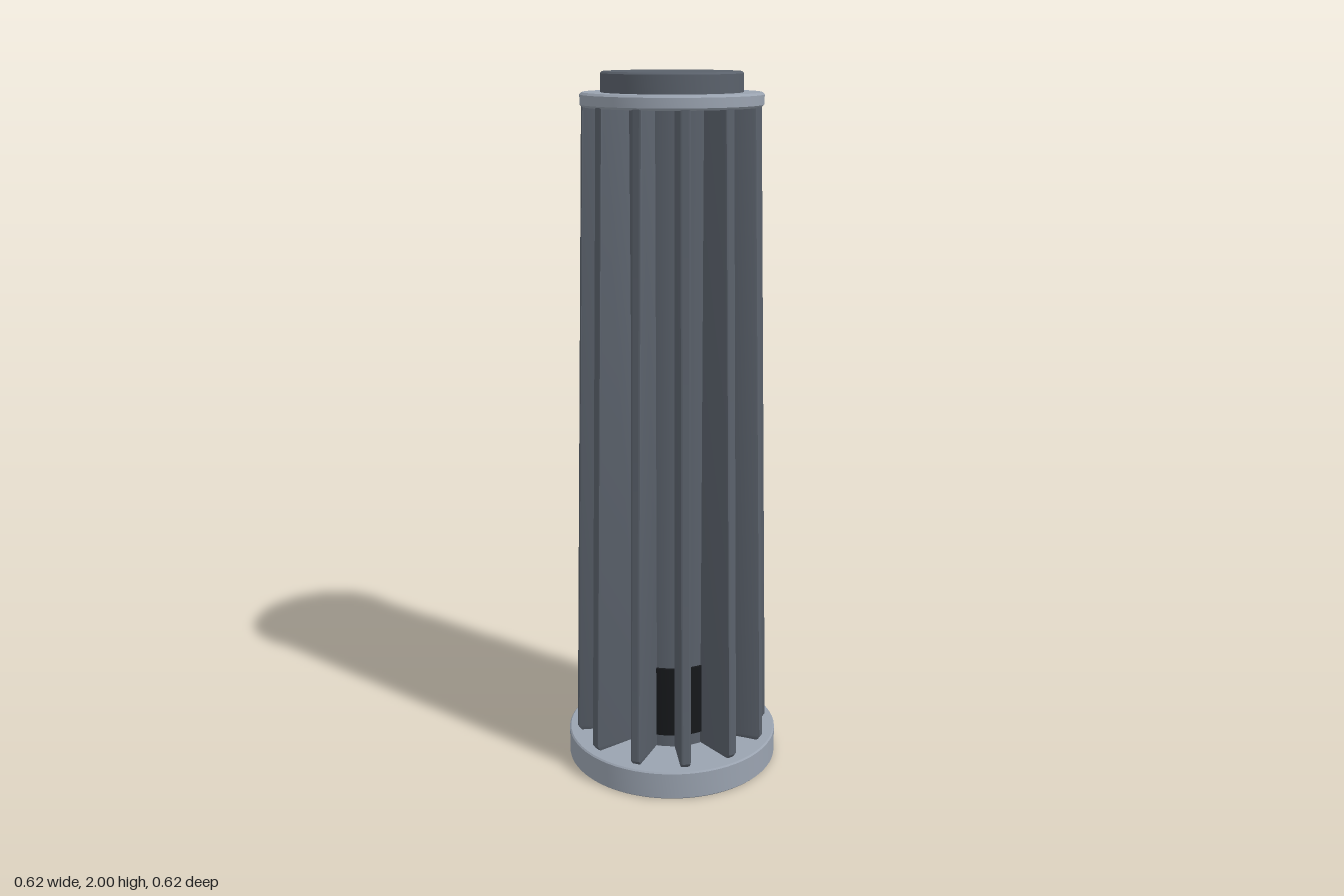
import * as THREE from 'three';
import { toCreasedNormals } from 'three/addons/utils/BufferGeometryUtils.js';

const paint = (color) => new THREE.MeshStandardMaterial({ color });

// Solid disc or drum with softly chamfered rims, from y0 to y1
function disc(name, r0, r1, y0, y1, bevel, material) {
  const profile = [
    [0, y0], [r0 - bevel, y0], [r0, y0 + bevel],
    [r1, y1 - bevel], [r1 - bevel, y1], [0, y1],
  ].map(([r, y]) => new THREE.Vector2(r, y));
  const geometry = toCreasedNormals(new THREE.LatheGeometry(profile, 64), 0.6);
  const mesh = new THREE.Mesh(geometry, material);
  mesh.name = name;
  return mesh;
}

// Tapering radial fin, drawn as (radius, height) and given a bevelled thickness
function finGeometry() {
  const thickness = 0.03, bevel = 0.007;
  const shape = new THREE.Shape([
    [0.13, 0.08], [0.275, 0.08], [0.286, 0.095], [0.244, 1.915], [0.13, 1.915],
  ].map(([r, y]) => new THREE.Vector2(r, y)));
  const geometry = new THREE.ExtrudeGeometry(shape, {
    depth: thickness - 2 * bevel, bevelEnabled: true, bevelThickness: bevel,
    bevelSize: bevel, bevelOffset: -bevel, bevelSegments: 2,
  });
  geometry.translate(0, 0, bevel - thickness / 2);
  return toCreasedNormals(geometry, 0.6);
}

export function createModel() {
  const model = new THREE.Group();
  model.name = 'finnedColumn';
  const light = paint(0x9aa3b0), dark = paint(0x5a616b), black = paint(0x16181b);

  model.add(
    disc('base', 0.31, 0.31, 0, 0.083, 0.004, light),
    disc('core', 0.155, 0.155, 0.075, 1.92, 0.001, dark),
    disc('darkBand', 0.16, 0.16, 0.12, 0.333, 0.001, black),
    disc('topFlange', 0.248, 0.248, 1.908, 1.946, 0.006, light),
    disc('topCap', 0.192, 0.192, 1.94, 2, 0.005, dark),
  );

  // Ring of twelve fins
  const fins = new THREE.Group();
  fins.name = 'fins';
  const geometry = finGeometry();
  for (let i = 0; i < 12; i++) {
    const fin = new THREE.Mesh(geometry, dark);
    fin.name = 'fin';
    fin.rotation.y = ((i + 0.5) * Math.PI) / 6;
    fins.add(fin);
  }
  model.add(fins);
  return model;
}
